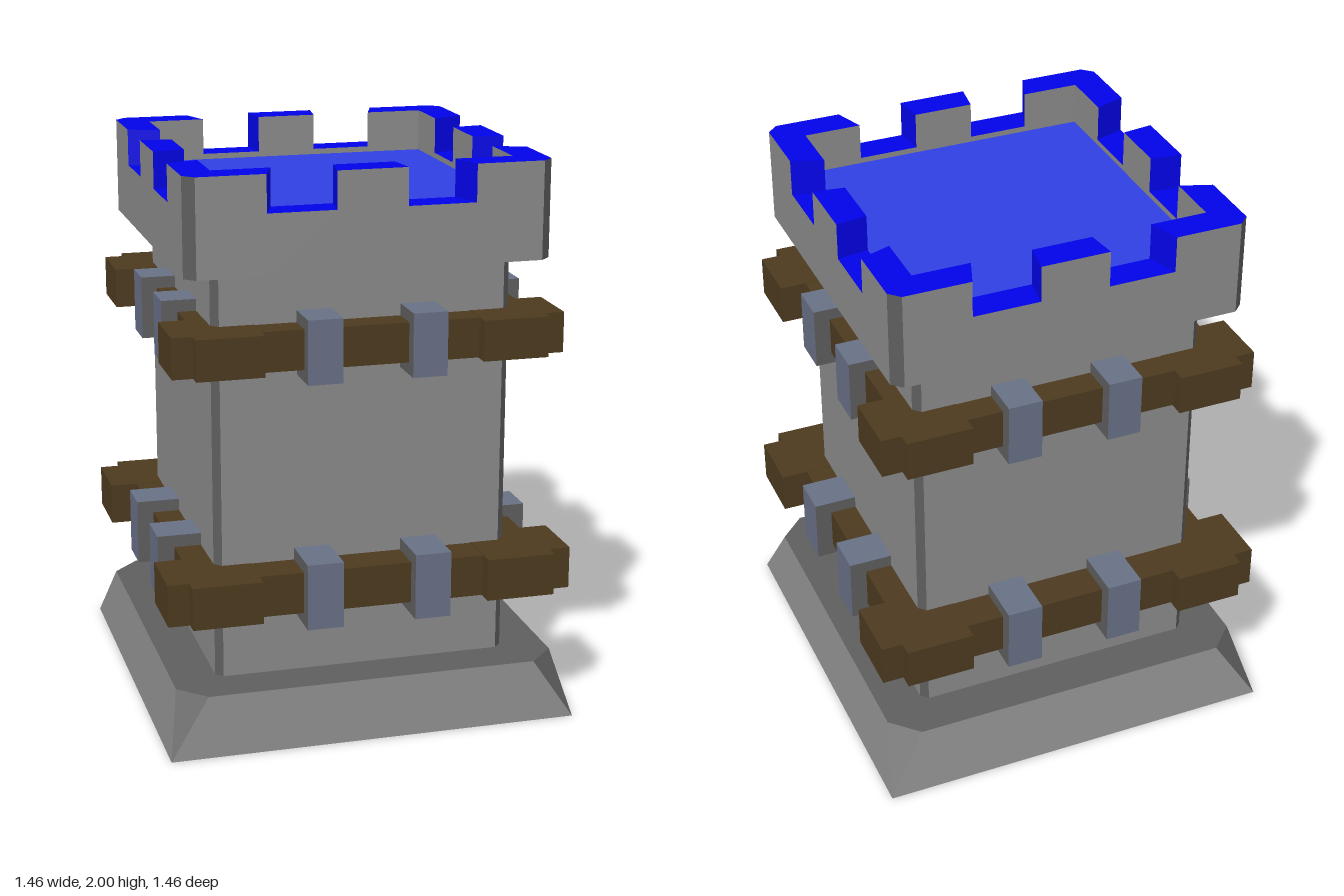
import * as THREE from 'three';

const mat = (name, color, side = THREE.FrontSide) => {
  const m = new THREE.MeshStandardMaterial({ color, side, flatShading: true });
  m.name = name;
  return m;
};

// Flat-faced mesh from a list of four-cornered faces
function quadMesh(name, quads, material) {
  const pos = [];
  for (const [a, b, c, d] of quads) pos.push(...a, ...b, ...c, ...a, ...c, ...d);
  const g = new THREE.BufferGeometry();
  g.setAttribute('position', new THREE.Float32BufferAttribute(pos, 3));
  g.computeVertexNormals();
  const mesh = new THREE.Mesh(g, material);
  mesh.name = name;
  return mesh;
}

// Point on side k of the square: u along the side, v outwards
function sidePoint(k, u, y, v) {
  const c = [1, 0, -1, 0][k % 4], s = [0, 1, 0, -1][k % 4];
  return [u * c + v * s, y, -u * s + v * c];
}

// Square ring with cut corners
function ring(half, cut, y) {
  const pts = [];
  for (let k = 0; k < 4; k++) {
    pts.push(sidePoint(k, cut - half, y, half), sidePoint(k, half - cut, y, half));
  }
  return pts;
}

// Band between two rings: broad sides and cut corners
function loft(name, a, b, sideMat, cutMat) {
  const sides = [], cuts = [];
  for (let i = 0; i < 8; i++) {
    const j = (i + 1) % 8;
    (i % 2 ? cuts : sides).push([a[i], a[j], b[j], b[i]]);
  }
  const g = new THREE.Group();
  g.name = name;
  g.add(quadMesh(name + 'Sides', sides, sideMat), quadMesh(name + 'Corners', cuts, cutMat));
  return g;
}

// Box without a back, so nothing shows from inside the hollow shaft
function openBox(name, [x0, x1], h, [z0, z1], faceMat, cheekMat) {
  const y0 = -h / 2, y1 = h / 2;
  const g = new THREE.Group();
  g.name = name;
  g.add(
    quadMesh(name + 'Face', [
      [[x0, y0, z1], [x1, y0, z1], [x1, y1, z1], [x0, y1, z1]],
      [[x0, y1, z1], [x1, y1, z1], [x1, y1, z0], [x0, y1, z0]],
      [[x0, y0, z0], [x1, y0, z0], [x1, y0, z1], [x0, y0, z1]],
    ], faceMat),
    quadMesh(name + 'Cheeks', [
      [[x1, y0, z1], [x1, y0, z0], [x1, y1, z0], [x1, y1, z1]],
      [[x0, y0, z0], [x0, y0, z1], [x0, y1, z1], [x0, y1, z0]],
    ], cheekMat));
  return g;
}

export function createModel() {
  const stone = mat('stone grey', 0x8a8a8a, THREE.DoubleSide);
  const darkStone = mat('dark stone grey', 0x5e5e5e, THREE.DoubleSide);
  const trim = mat('battlement blue', 0x0202f0, THREE.DoubleSide);
  const roof = mat('roof blue', 0x2f40e2, THREE.DoubleSide);
  const wood = mat('dark wood', 0x4c3a1f);
  const iron = mat('bracket steel', 0x687086);

  const model = new THREE.Group();
  model.name = 'tower';
  const body = new THREE.Group();
  body.name = 'towerBody';
  body.position.set(-0.002, 0, 0.018);
  model.add(body);

  // Hollow shell: flared base, ledge, shaft and parapet underside
  const foot = ring(0.73, 0, 0).map(([x, y, z]) => [x + 0.002, y, z - 0.018]);
  const baseTop = ring(0.684, 0.095, 0.215);
  const shaftFoot = ring(0.526, 0.025, 0.215);
  const shaftTop = ring(0.526, 0.025, 1.66);
  const parapetFoot = ring(0.634, 0.037, 1.66);
  body.add(
    loft('base', foot, baseTop, stone, darkStone),
    loft('ledge', baseTop, shaftFoot, darkStone, darkStone),
    loft('shaft', shaftFoot, shaftTop, stone, darkStone),
    loft('parapetUnderside', shaftTop, parapetFoot, darkStone, darkStone));

  // Parapet with radial gaps
  const bottom = 1.66, deck = 1.85, low = 1.87, high = 2;
  const outV = 0.634, inV = 0.523;
  const outU = [-0.597, -0.36, -0.122, 0.122, 0.36, 0.597];
  const inU = [-0.523, -0.32, -0.107, 0.107, 0.32, 0.523];
  const walls = [], cuts = [], caps = [];
  for (let k = 0; k < 4; k++) {
    const out = (i, y) => sidePoint(k, outU[i], y, outV);
    const inn = (i, y) => sidePoint(k, inU[i], y, inV);
    for (let i = 0; i < 5; i++) {
      const h = i % 2 ? low : high;
      walls.push([out(i, bottom), out(i + 1, bottom), out(i + 1, h), out(i, h)]);
      walls.push([inn(i + 1, deck), inn(i, deck), inn(i, h), inn(i + 1, h)]);
      caps.push([out(i, h), out(i + 1, h), inn(i + 1, h), inn(i, h)]);
    }
    // Side faces of the gaps
    for (let i = 1; i < 5; i++) {
      const q = [out(i, low), inn(i, low), inn(i, high), out(i, high)];
      caps.push(i % 2 ? q : q.reverse());
    }
    // Cut corner
    const next = (y) => sidePoint(k + 1, outU[0], y, outV);
    cuts.push([out(5, bottom), next(bottom), next(high), out(5, high)]);
    caps.push([out(5, high), next(high), inn(5, high), inn(5, high)]);
  }
  body.add(
    quadMesh('parapetWalls', walls, stone),
    quadMesh('parapetCorners', cuts, darkStone),
    quadMesh('battlementTops', caps, trim));

  // Roof deck
  const deckMesh = new THREE.Mesh(new THREE.PlaneGeometry(2 * inV, 2 * inV), roof);
  deckMesh.name = 'roofDeck';
  deckMesh.rotation.x = -Math.PI / 2;
  deckMesh.position.y = deck;
  body.add(deckMesh);

  // Timber bands with stepped corners and steel brackets
  const band = (name, y, scale) => {
    const g = new THREE.Group();
    g.name = name;
    g.position.y = y;
    g.scale.setScalar(scale);
    for (let k = 0; k < 4; k++) {
      const side = new THREE.Group();
      side.name = 'bandSide';
      side.rotation.y = k * Math.PI / 2;
      const wide = k % 2 === 1; // left and right sides
      const beamOut = wide ? 0.622 : 0.66;
      const cornerOut = wide ? 0.72 : 0.716;
      const bracketOut = wide ? 0.682 : 0.712;
      const [c0, c1] = wide ? [0.428, 0.665] : [0.4, 0.645];
      const shift = [0.01, -0.03, -0.01, 0.03][k];
      const half = wide ? 0.074 : 0.064;
      side.add(openBox('beam', [-0.5, 0.5], 0.147, [0.47, beamOut], wood, wood));
      for (const s of [-1, 1]) {
        const span = s < 0 ? [-c1, -c0] : [c0, c1];
        side.add(openBox('cornerBeam', span, 0.15, [0.45, cornerOut], wood, wood));
        const u = s * 0.192 + shift;
        side.add(openBox('bracket', [u - half, u + half], 0.235, [0.43, bracketOut], iron, darkStone));
      }
      g.add(side);
    }
    body.add(g);
  };
  band('lowerBand', 0.551, 1);
  band('upperBand', 1.402, 0.95);

  return model;
}
